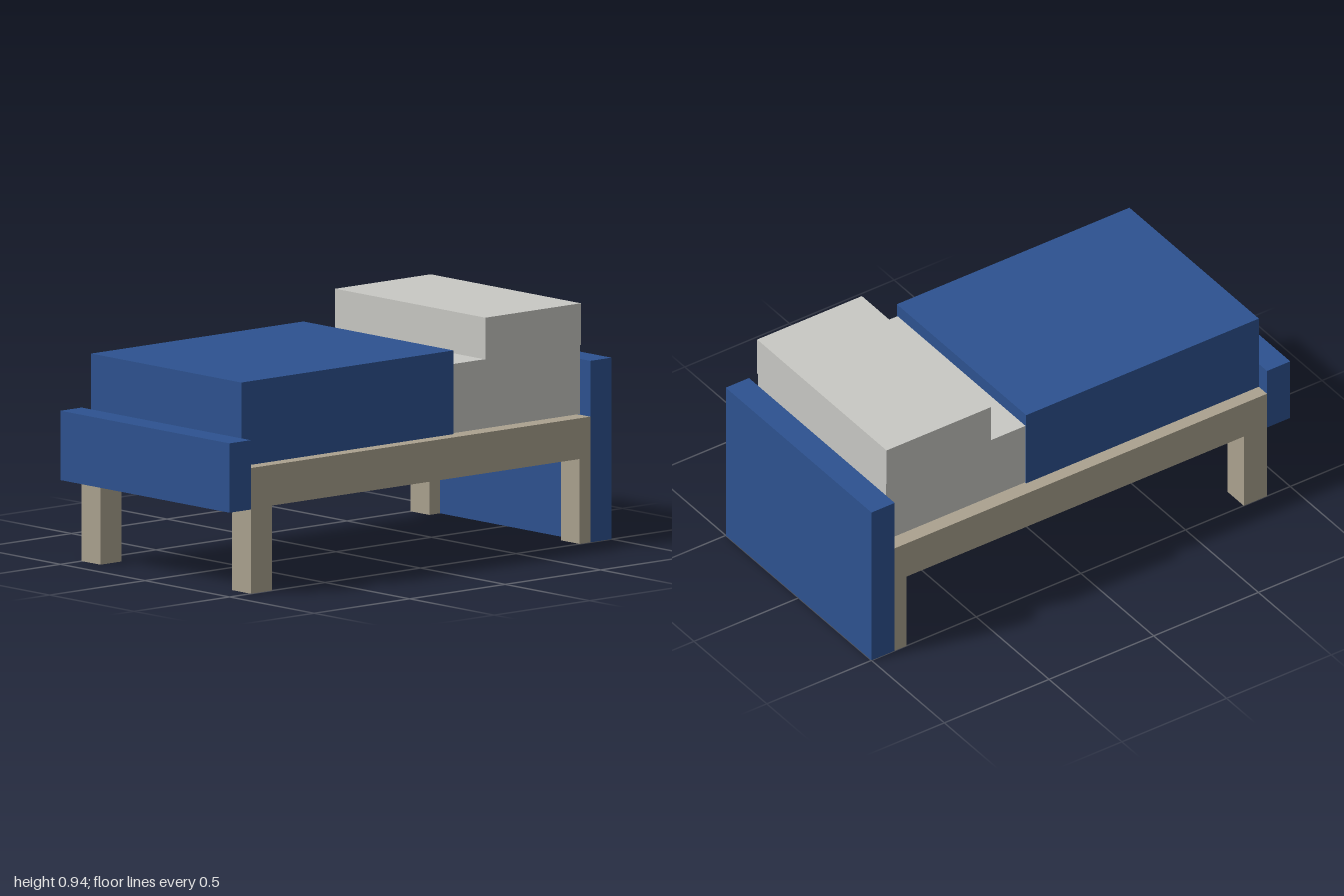
import * as THREE from 'three';

export function createModel() {
  const bed = new THREE.Group();
  bed.name = 'bed';

  const mat = (name, color) => {
    const m = new THREE.MeshStandardMaterial({ color });
    m.name = name;
    return m;
  };
  const blue = mat('blue', 0x2d5290);
  const wood = mat('paleWood', 0xaba28f);
  const linen = mat('linen', 0xc8c8c4);

  // Box given by its extents along each axis
  const box = (name, material, [x0, x1], [y0, y1], [z0, z1]) => {
    const mesh = new THREE.Mesh(new THREE.BoxGeometry(x1 - x0, y1 - y0, z1 - z0), material);
    mesh.position.set((x0 + x1) / 2, (y0 + y1) / 2, (z0 + z1) / 2);
    mesh.name = name;
    bed.add(mesh);
  };

  // Boards and frame
  box('headboard', blue, [-0.5, 0.5], [0, 0.722], [-1, -0.889]);
  box('footboard', blue, [-0.5, 0.5], [0.335, 0.611], [0.889, 1]);
  box('bedFrame', wood, [-0.5, 0.5], [0.338, 0.5], [-0.889, 0.889]);

  // Legs, mirrored; the back pair is partly set into the headboard
  for (const [side, x] of [['Left', [0.389, 0.5]], ['Right', [-0.5, -0.389]]]) {
    box('front' + side + 'Leg', wood, x, [0, 0.338], [0.778, 0.889]);
    box('back' + side + 'Leg', wood, x, [0, 0.338], [-0.889, -0.833]);
  }

  // Bedding
  box('mattress', linen, [-0.439, 0.439], [0.503, 0.778], [-0.889, 0.88]);
  box('blanket', blue, [-0.444, 0.444], [0.5, 0.833], [-0.222, 0.889]);
  box('pillow', linen, [-0.444, 0.444], [0.778, 0.944], [-0.889, -0.389]);

  return bed;
}
